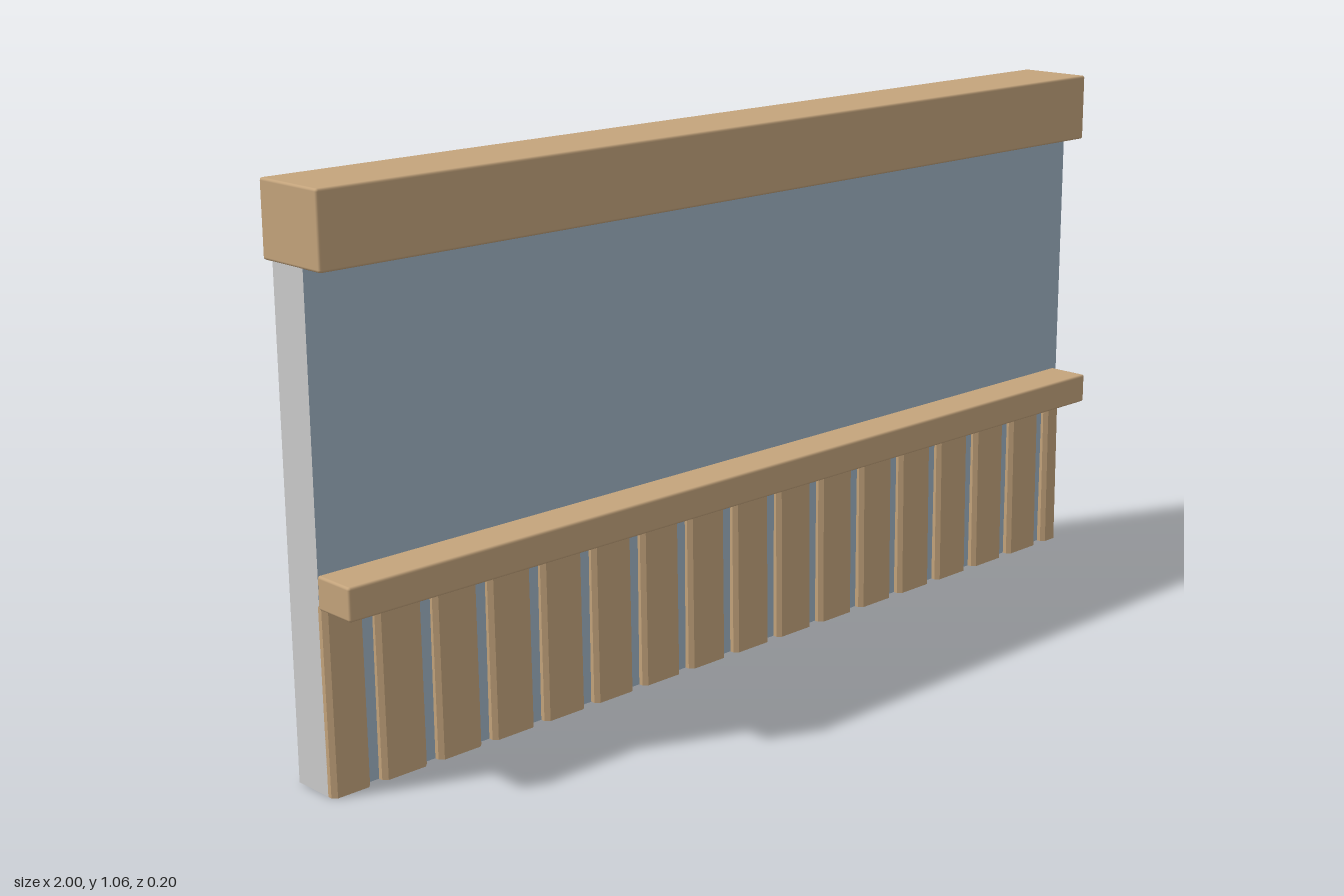
import * as THREE from 'three';
import { RoundedBoxGeometry } from 'three/addons/geometries/RoundedBoxGeometry.js';

const wood = new THREE.MeshStandardMaterial({ color: 0xc4a47c });
const plaster = new THREE.MeshStandardMaterial({ color: 0xd9d6da });
const paint = new THREE.MeshStandardMaterial({ color: 0x9fb3c4 });

// Softly rounded beam given by its minimum and maximum corners
function beam(name, min, max, radius) {
  const size = max.map((v, i) => v - min[i]);
  const mesh = new THREE.Mesh(new RoundedBoxGeometry(...size, 2, radius), wood);
  mesh.position.set(...max.map((v, i) => (v + min[i]) / 2));
  mesh.name = name;
  return mesh;
}

// Upright plank with chamfered front edges, leaning back very slightly
function plank(x0, x1, height) {
  const c = 0.008, depth = 0.017;
  const section = new THREE.Shape([
    new THREE.Vector2(x0, 0),
    new THREE.Vector2(x1, 0),
    new THREE.Vector2(x1, -depth + c),
    new THREE.Vector2(x1 - c, -depth),
    new THREE.Vector2(x0 + c, -depth),
    new THREE.Vector2(x0, -depth + c),
  ]);
  const geometry = new THREE.ExtrudeGeometry(section, { depth: height, bevelEnabled: false });
  geometry.rotateX(-Math.PI / 2);
  const mesh = new THREE.Mesh(geometry, wood);
  mesh.position.z = 0.01;
  mesh.rotation.x = -0.01;
  mesh.name = 'plank';
  return mesh;
}

export function createModel() {
  const model = new THREE.Group();
  model.name = 'wallSection';

  // Wall slab: painted on the front and underside, plain elsewhere
  const wall = new THREE.Mesh(
    new THREE.BoxGeometry(1.996, 0.925, 0.085),
    [plaster, plaster, plaster, paint, paint, plaster]
  );
  wall.position.set(0, 0.4625, -0.0325);
  wall.name = 'wall';
  model.add(wall);

  // Top beam and the shelf-like rail
  model.add(beam('topBeam', [-1, 0.92, -0.1], [1, 1.057, 0.06], 0.005));
  model.add(beam('rail', [-1, 0.339, 0.01], [0.985, 0.4, 0.1], 0.005));

  // Wainscot planks, the end ones cut to the wall width
  const planks = new THREE.Group();
  planks.name = 'wainscot';
  const pitch = 0.1228, gap = 0.026;
  for (let i = 0; i < 17; i++) {
    const start = -1.014 + i * pitch;
    planks.add(plank(Math.max(start, -0.998), Math.min(start + pitch - gap, 0.998), 0.345));
  }
  model.add(planks);
  return model;
}
